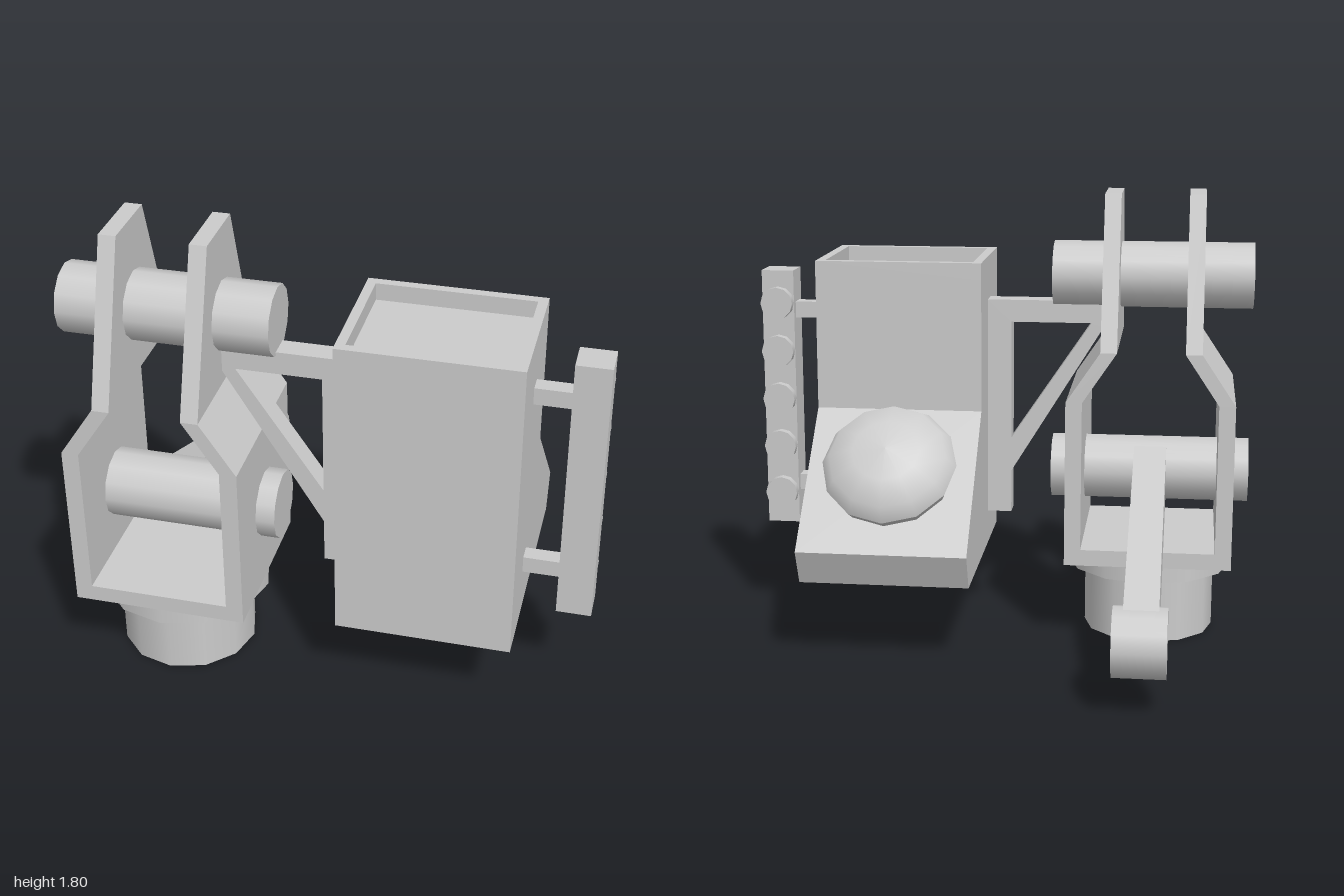
import * as THREE from 'three';

const smooth = new THREE.MeshStandardMaterial({ color: 0xcccccc });
const flat = new THREE.MeshStandardMaterial({ color: 0xcccccc, flatShading: true });
const open = new THREE.MeshStandardMaterial({ color: 0xcccccc, side: THREE.DoubleSide });

const CX = -0.605; // centre line of the yoke
const CZ = 0.4;

export function createModel() {
  const model = new THREE.Group();

  const add = (name, geometry, material = flat) => {
    const mesh = new THREE.Mesh(geometry, material);
    mesh.name = name;
    model.add(mesh);
    return mesh;
  };
  // Box given by its limits on each axis
  const box = (name, [x0, x1], [y0, y1], [z0, z1]) =>
    add(name, new THREE.BoxGeometry(x1 - x0, y1 - y0, z1 - z0)
      .translate((x0 + x1) / 2, (y0 + y1) / 2, (z0 + z1) / 2));
  // Twelve-sided cylinder lying along x
  const rod = (name, x0, x1, y, z, r) =>
    add(name, new THREE.CylinderGeometry(r, r, x1 - x0, 12)
      .rotateZ(Math.PI / 2).translate((x0 + x1) / 2, y, z), smooth);
  const polygon = (points) => new THREE.Shape(points.map(([x, y]) => new THREE.Vector2(x, y)));
  const extrude = (shape, depth) => new THREE.ExtrudeGeometry(shape, { depth, bevelEnabled: false });

  // Hollow socket pipe and its flange
  add('socketPipe', new THREE.CylinderGeometry(0.265, 0.265, 0.27, 12, 1, true)
    .translate(CX, 0.135, CZ), open);
  add('flange', new THREE.CylinderGeometry(0.332, 0.332, 0.067, 12)
    .translate(CX, 0.302, CZ), smooth);

  // Yoke: floor plate and two bent, tapering cheeks
  box('yokeFloor', [CX - 0.3, CX + 0.3], [0.335, 0.4], [CZ - 0.333, CZ + 0.333]);
  // Each section: height, inner offset, outer offset, half depth
  const sections = [
    [0.335, 0.267, 0.332, 0.333],
    [1.0, 0.267, 0.332, 0.333],
    [1.2, 0.133, 0.198, 0.333],
    [1.8, 0.133, 0.198, 0.133],
  ];
  for (const side of [-1, 1]) {
    const cheek = new THREE.BoxGeometry(1, 1, 1, 1, 3, 1);
    const p = cheek.attributes.position;
    for (let i = 0; i < p.count; i++) {
      const [y, inner, outer, half] = sections[Math.round((p.getY(i) + 0.5) * 3)];
      const offset = p.getX(i) * side > 0 ? outer : inner;
      p.setXYZ(i, CX + side * offset, y, CZ + Math.sign(p.getZ(i)) * half);
    }
    cheek.computeVertexNormals();
    add(side < 0 ? 'rightCheek' : 'leftCheek', cheek);
  }

  // Pins through the cheeks
  rod('upperPin', -1, -0.2, 1.467, CZ, 0.133);
  rod('lowerPin', -1, -0.2, 0.667, CZ, 0.133);

  // Lever running back and down from the lower pin
  add('leverArm', new THREE.BoxGeometry(0.13, 0.252, Math.hypot(1, 0.4))
    .rotateX(-Math.atan(0.4)).translate(CX + 0.002, 0.467, -0.1));
  rod('leverKnob', -0.7, -0.5, 0.267, -0.6, 0.133);

  // Braced bracket between yoke and housing
  const bracket = polygon([[-0.405, 1.36], [-0.405, 1.255], [-0.03, 0.645],
    [-0.03, 0.47], [0.068, 0.47], [0.068, 1.36]]);
  bracket.holes.push(new THREE.Path([[-0.355, 1.27], [-0.03, 1.27], [-0.03, 0.786]]
    .map(([x, y]) => new THREE.Vector2(x, y))));
  add('bracket', extrude(bracket, 0.09).translate(0, 0, 0.355));

  // Housing: side profile (z, y) extruded across x
  const X0 = 0.067, X1 = 0.73, Z0 = 0.135, Z1 = 0.665, TOP = 1.535, WALL = 0.036, RECESS = 0.067;
  const profile = polygon([[Z1, 0.335], [Z1, TOP - RECESS], [Z0, TOP - RECESS],
    [Z0, 0.942], [-0.333, 0.475], [-0.27, 0.335]]);
  add('housing', extrude(profile, X1 - X0).rotateY(-Math.PI / 2).translate(X1, 0, 0));

  // Raised rim round the sunken top
  const rectangle = (m) => [[X0 + m, -Z1 + m], [X1 - m, -Z1 + m], [X1 - m, -Z0 - m], [X0 + m, -Z0 - m]];
  const rim = polygon(rectangle(0));
  rim.holes.push(polygon(rectangle(WALL)));
  add('housingRim', extrude(rim, RECESS).rotateX(-Math.PI / 2).translate(0, TOP - RECESS, 0));

  // Flattened dome on the sloping back, with a short collar
  const domeProfile = [];
  for (let i = 0; i <= 3; i++) {
    const a = (i * Math.PI) / 6;
    domeProfile.push(new THREE.Vector2(i === 3 ? 0 : 0.265 * Math.cos(a), 0.047 + 0.12 * Math.sin(a)));
  }
  const dome = new THREE.Group();
  dome.name = 'dome';
  const cap = add('domeCap', new THREE.LatheGeometry(domeProfile, 12), smooth);
  const collar = add('domeCollar', new THREE.CylinderGeometry(0.265, 0.25, 0.047, 12)
    .translate(0, 0.0235, 0), smooth);
  dome.add(cap, collar);
  dome.position.set(0.4, 0.742, -0.068);
  dome.rotation.x = -Math.PI / 4;
  model.add(dome);

  // Side rail on two struts, with a row of buttons on its back
  box('sideRail', [0.868, 1], [0.4, 1.467], [0.337, 0.467]);
  for (const y of [0.567, 1.302]) box('railStrut', [0.72, 0.88], [y - 0.033, y + 0.033], [0.368, 0.432]);
  for (let i = 0; i < 5; i++) {
    add('railButton', new THREE.CylinderGeometry(0.066, 0.066, 0.04, 12)
      .rotateX(Math.PI / 2).translate(0.934, 0.535 + 0.2 * i, 0.32), smooth);
  }

  return model;
}
